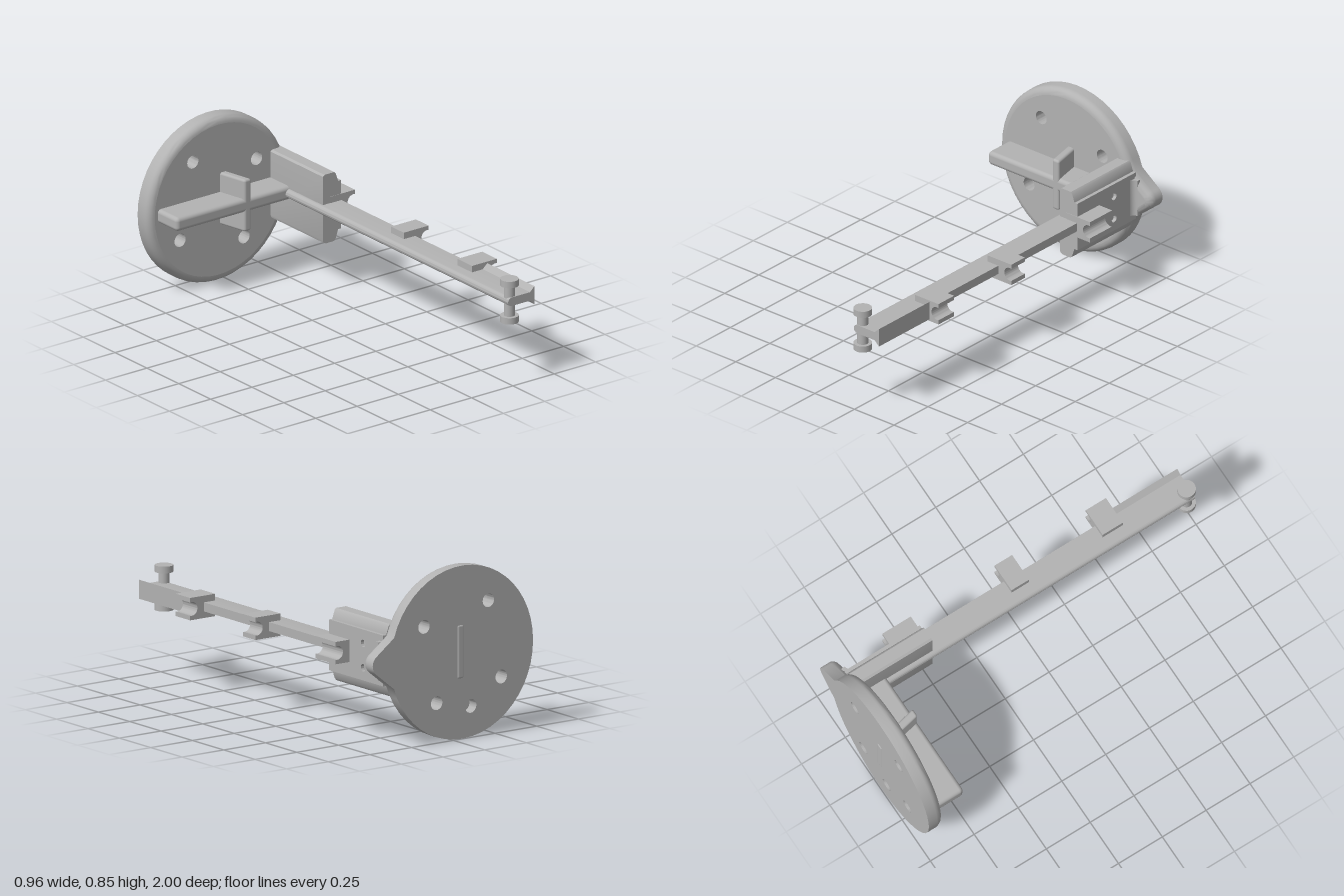
import * as THREE from 'three';
import { toCreasedNormals } from 'three/addons/utils/BufferGeometryUtils.js';
import { RoundedBoxGeometry } from 'three/addons/geometries/RoundedBoxGeometry.js';

const grey = new THREE.MeshStandardMaterial({ color: 0xb2b2b2 });
grey.name = 'plain grey';

const CY = 0.43; // height of the arm axis
const BACK = -0.996, FRONT = -0.91; // wall disc faces
const BEVEL = 0.038;

function add(group, name, geometry) {
  const mesh = new THREE.Mesh(geometry, grey);
  mesh.name = name;
  group.add(mesh);
  return mesh;
}

// Extrude an x-y shape from z0 to z1
function prism(shape, z0, z1) {
  const g = new THREE.ExtrudeGeometry(shape, { depth: z1 - z0, bevelEnabled: false, curveSegments: 20 });
  g.translate(0, 0, z0);
  return toCreasedNormals(g, 0.6);
}

const polygon = (pts) => new THREE.Shape(pts.map(([x, y]) => new THREE.Vector2(x, y)));

function circle(x, y, r) {
  return new THREE.Path().absarc(x, y, r, 0, Math.PI * 2, true);
}

// Disc outline with a pointed nose on +x, shrunk by an inset
function discOutline(inset) {
  const pts = [];
  const a = 0.30, R = 0.426 - inset, n = 44;
  for (let i = 0; i <= n; i++) {
    const t = a + (i / n) * (Math.PI * 2 - 2 * a);
    pts.push(new THREE.Vector2(-0.055 + R * Math.cos(t), 0.427 + R * Math.sin(t)));
  }
  const b = 0.97, r = 0.055 - inset, m = 10;
  for (let i = 0; i <= m; i++) {
    const t = -b + (i / m) * 2 * b;
    pts.push(new THREE.Vector2(0.425 + r * Math.cos(t), CY + r * Math.sin(t)));
  }
  return pts;
}

// Rim strip: square at the back, rounded at the front
function discRim() {
  const sections = [[BEVEL, BACK], [0, BACK], [0, FRONT - BEVEL]];
  for (let i = 1; i <= 6; i++) {
    const t = (i / 6) * Math.PI / 2;
    sections.push([BEVEL * (1 - Math.cos(t)), FRONT - BEVEL * (1 - Math.sin(t))]);
  }
  const pos = [], idx = [];
  let n = 0;
  sections.forEach(([inset, z]) => {
    const loop = discOutline(inset);
    n = loop.length;
    loop.forEach((p) => pos.push(p.x, p.y, z));
  });
  for (let s = 0; s < sections.length - 1; s++) {
    for (let i = 0; i < n; i++) {
      const j = (i + 1) % n;
      const p = s * n + i, q = s * n + j;
      idx.push(p, q, q + n, p, q + n, p + n);
    }
  }
  const g = new THREE.BufferGeometry();
  g.setAttribute('position', new THREE.Float32BufferAttribute(pos, 3));
  g.setIndex(idx);
  return toCreasedNormals(g, 0.6);
}

function makeDisc() {
  const disc = new THREE.Group();
  disc.name = 'wallDisc';
  const screwHoles = [[-0.213, 0.66], [0.173, 0.583], [-0.29, 0.274], [0.097, 0.197]];
  const blindHole = [-0.107, 0.155];
  const core = (holes) => {
    const s = new THREE.Shape(discOutline(BEVEL));
    holes.forEach(([x, y]) => s.holes.push(circle(x, y, 0.034)));
    return s;
  };
  const mid = -0.94;
  add(disc, 'discBackLayer', prism(core([...screwHoles, blindHole]), BACK, mid));
  add(disc, 'discFrontLayer', prism(core(screwHoles), mid, FRONT));
  add(disc, 'discRim', discRim());
  return disc;
}

function makeRibs() {
  const ribs = new THREE.Group();
  ribs.name = 'ribs';
  const bar = new RoundedBoxGeometry(0.70, 0.07, 0.19, 4, 0.02);
  bar.translate(-0.075, CY, -0.855);
  add(ribs, 'horizontalRib', bar);

  // Slanted tab that passes through the disc
  const tab = new RoundedBoxGeometry(0.042, 0.268, 0.24, 4, 0.012);
  const p = tab.attributes.position;
  for (let i = 0; i < p.count; i++) {
    const z = p.getZ(i);
    // keep the rear end square
    p.setX(i, p.getX(i) + 0.22 * (z - 0.12));
  }
  tab.translate(0.006, CY, -0.88);
  add(ribs, 'slantedTab', tab);
  return ribs;
}

function makeBracket() {
  const bracket = new THREE.Group();
  bracket.name = 'bracket';
  const body = polygon([
    [0.257, 0.27], [0.262, 0.256], [0.276, 0.25], [0.325, 0.25], [0.335, 0.262], [0.35, 0.305],
    [0.35, 0.555], [0.335, 0.598], [0.327, 0.606], [0.268, 0.606], [0.257, 0.598],
  ]);
  add(bracket, 'bracketBody', prism(body, -0.93, -0.5));

  // Side plate with two small screw holes
  const side = polygon([[0.5, 0.305], [0.93, 0.305], [0.93, 0.555], [0.5, 0.555]]);
  [0.367, 0.487].forEach((y) => side.holes.push(circle(0.77, y, 0.018)));
  const plate = prism(side, 0.348, 0.368);
  plate.rotateY(Math.PI / 2);
  add(bracket, 'sidePlate', plate);

  // Hollow fillet between side plate and disc
  const curve = [[0.36, 0.93]];
  curve.push([0.395, 0.93]);
  for (let i = 0; i <= 5; i++) {
    const t = (i / 5) * Math.PI / 2;
    curve.push([0.395 - 0.028 * Math.sin(t), 0.882 + 0.028 * Math.cos(t)]);
  }
  curve.push([0.36, 0.882]);
  const fillet = prism(polygon(curve), 0.335, 0.525);
  fillet.rotateX(-Math.PI / 2);
  add(bracket, 'bracketFillet', fillet);
  return bracket;
}

function makeArm() {
  const arm = new THREE.Group();
  arm.name = 'arm';
  const h = 0.022;
  const bar = new THREE.Shape();
  bar.moveTo(0.255, CY - h);
  bar.lineTo(0.368, CY - h);
  bar.lineTo(0.368, CY + h);
  bar.lineTo(0.255, CY + h);
  bar.absarc(0.255, CY, h, Math.PI / 2, Math.PI * 1.5, false);
  add(arm, 'armBar', prism(bar, -0.9, 0.985));

  // Flared edge near the free end
  const flare = polygon([
    [0.365, CY - h], [0.392, CY - 0.047], [0.392, CY + 0.047], [0.365, CY + h],
  ]);
  add(arm, 'armFlare', prism(flare, 0.6, 0.985));

  // Clips with an open round groove facing +x
  const r = 0.034, cx = 0.44, edge = 0.45;
  const a = Math.acos((edge - cx) / r);
  const clip = new THREE.Shape();
  clip.moveTo(0.3, CY - 0.055);
  clip.lineTo(edge, CY - 0.055);
  clip.lineTo(edge, CY - r * Math.sin(a));
  clip.absarc(cx, CY, r, -a, a, true);
  clip.lineTo(edge, CY + 0.055);
  clip.lineTo(0.3, CY + 0.055);
  [[-0.66, -0.498], [-0.02, 0.08], [0.5, 0.615]].forEach(([z0, z1]) => {
    add(arm, 'clip', prism(clip, z0, z1));
  });

  // Capped post at the free end
  const post = new THREE.CylinderGeometry(0.027, 0.027, 0.19, 28);
  add(arm, 'post', post).position.set(0.264, CY - 0.002, 0.955);
  [-1, 1].forEach((s) => {
    const cap = new THREE.CylinderGeometry(0.045, 0.045, 0.033, 32);
    add(arm, 'postCap', cap).position.set(0.264, CY - 0.002 + s * 0.094, 0.955);
  });
  return arm;
}

export function createModel() {
  const model = new THREE.Group();
  model.name = 'wallMountedArm';
  model.add(makeDisc(), makeRibs(), makeBracket(), makeArm());
  return model;
}
